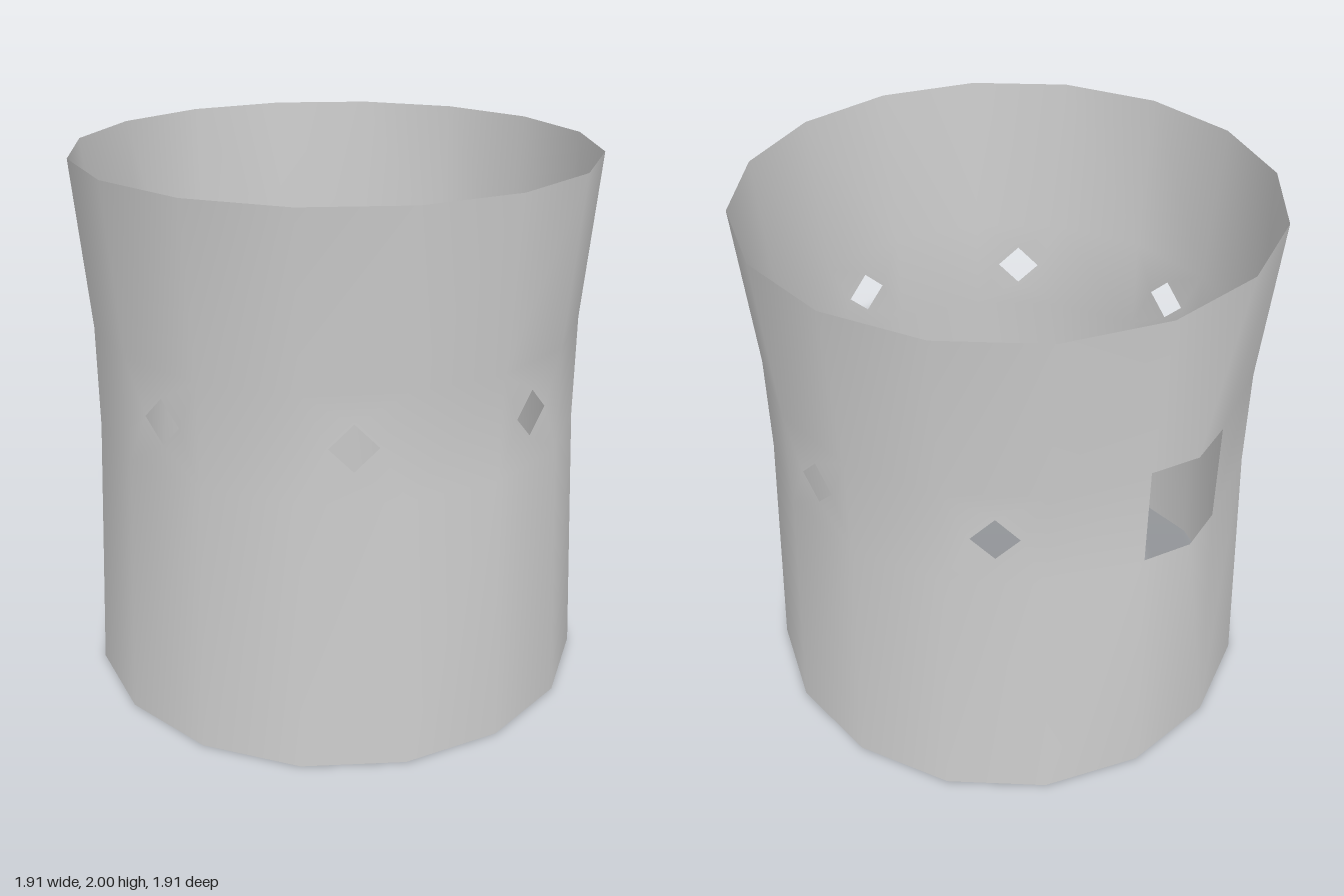
import * as THREE from 'three';
import { mergeVertices } from 'three/addons/utils/BufferGeometryUtils.js';

const SIDES = 16;
const STEP = (Math.PI * 2) / SIDES;
const RIM = 0.957, WAIST = 0.906;          // radii
const Y = [0, 1.0, 1.385, 2];              // heights of the four rings
const RADII = [RIM, WAIST, WAIST, RIM];
const WINDOW_SIDE = 10;                    // side that carries the large opening

// Point on the wall: side number runs from +z towards +x
const polar = (side, r, y) =>
  new THREE.Vector3(r * Math.sin(side * STEP), y, r * Math.cos(side * STEP));
const ring = (side, row) => polar(side % SIDES, RADII[row], Y[row]);

function createWallGeometry() {
  const pos = [];
  const tri = (...pts) => pts.forEach((p) => pos.push(p.x, p.y, p.z));
  const quad = (a, b, c, d) => { tri(a, b, c); tri(a, c, d); };

  // Flat waist panel with a diamond hole in its middle
  const diamondPanel = (c) => {
    const at = (u, y) => c[0].clone().lerp(c[1], u).setY(y);
    const mid = (Y[1] + Y[2]) / 2 + 0.003, h = 0.085, w = 0.238;
    const d = [at(0.5, mid - h), at(0.5 + w, mid), at(0.5, mid + h), at(0.5 - w, mid)];
    for (let k = 0; k < 4; k++) {
      const n = (k + 1) % 4;
      tri(c[k], c[n], d[k]);
      tri(c[n], d[n], d[k]);
    }
  };

  for (let i = 0; i < SIDES; i++) {
    const [b0, l0, h0, t0] = [0, 1, 2, 3].map((row) => ring(i, row));
    const [b1, l1, h1, t1] = [0, 1, 2, 3].map((row) => ring(i + 1, row));

    if (i === WINDOW_SIDE) {
      // Open panel; sill and lintel stay out at the rim line in the middle
      const r = RIM * Math.cos(STEP / 2);
      const sill = polar(i + 0.5, r, Y[1]), lintel = polar(i + 0.5, r, Y[2]);
      tri(b0, b1, sill); tri(b0, sill, l0); tri(b1, l1, sill);
      tri(h0, lintel, t0); tri(lintel, h1, t1); tri(lintel, t1, t0);
      continue;
    }
    quad(b0, b1, l1, l0);
    if (i % 2 === 0) diamondPanel([l0, l1, h1, h0]);
    else quad(l0, l1, h1, h0);
    quad(h0, h1, t1, t0);
  }

  let geometry = new THREE.BufferGeometry();
  geometry.setAttribute('position', new THREE.Float32BufferAttribute(pos, 3));
  geometry = mergeVertices(geometry, 1e-4);
  geometry.computeVertexNormals();
  return geometry;
}

export function createModel() {
  const group = new THREE.Group();
  group.name = 'openTower';
  const wall = new THREE.Mesh(
    createWallGeometry(),
    new THREE.MeshStandardMaterial({ color: 0xcccccc, side: THREE.DoubleSide })
  );
  wall.name = 'wall';
  group.add(wall);
  return group;
}
